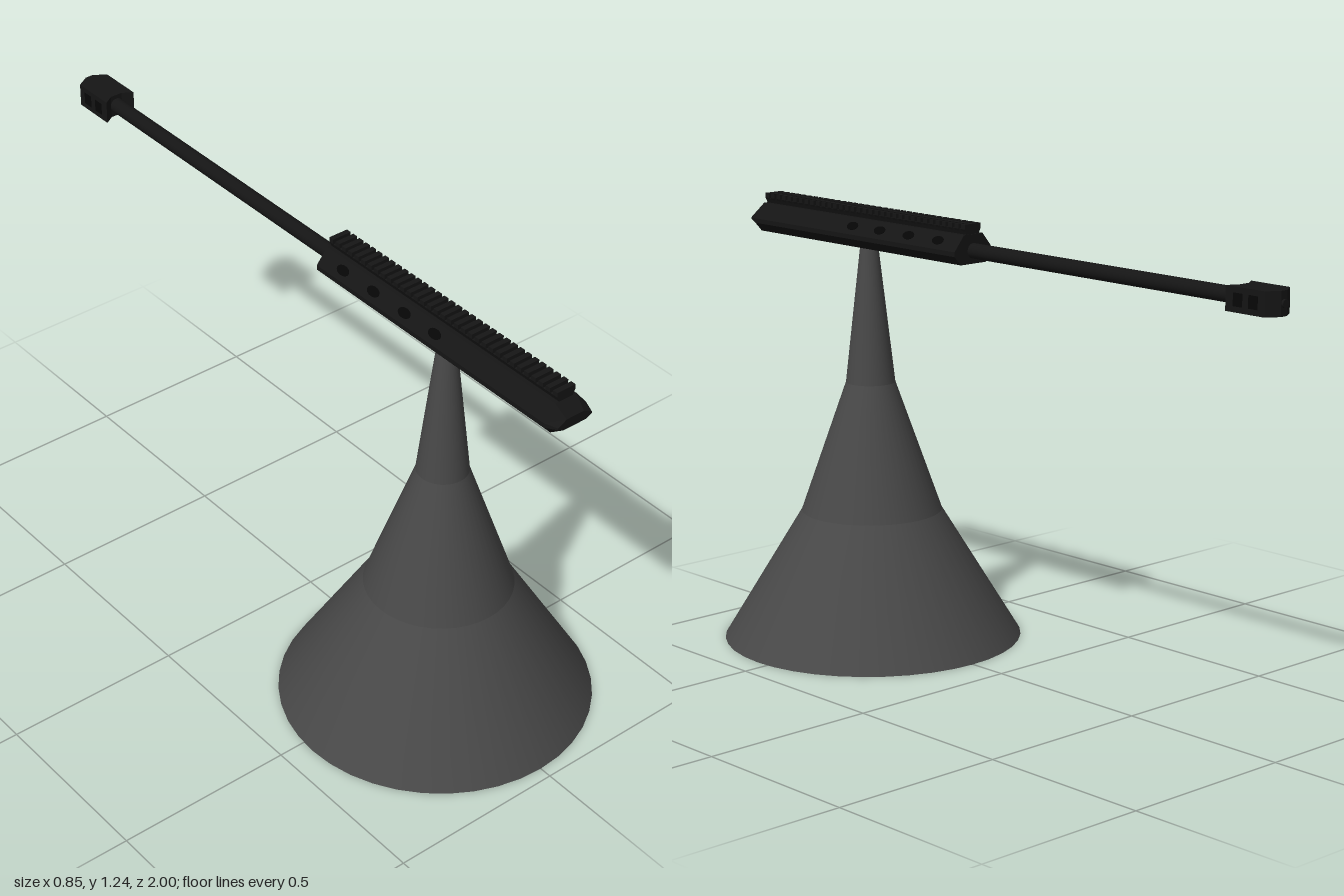
import * as THREE from 'three';

const metal = new THREE.MeshStandardMaterial({ color: 0x151515 });
const ventMetal = new THREE.MeshStandardMaterial({ color: 0x060606 });
const standMetal = new THREE.MeshStandardMaterial({ color: 0x484848 });

function add(parent, name, geometry, material = metal) {
  const mesh = new THREE.Mesh(geometry, material);
  mesh.name = name;
  parent.add(mesh);
  return mesh;
}

// Mirrors the right-hand half of an outline and extrudes it along z.
function mirroredExtrusion(half, z0, z1) {
  const left = half.map(([x, y]) => [-x, y]).reverse();
  const shape = new THREE.Shape([...half, ...left].map(([x, y]) => new THREE.Vector2(x, y)));
  const g = new THREE.ExtrudeGeometry(shape, { depth: z1 - z0, bevelEnabled: false });
  return g.translate(0, 0, z0);
}

function createStand() {
  const stand = new THREE.Group();
  stand.name = 'stand';
  // Flared column in three tapering sections, [radius, height]
  const rings = [[0.425, 0], [0.2, 0.37], [0.07, 0.74], [0.024, 1.14]];
  for (let i = 0; i < 3; i++) {
    const [r0, y0] = rings[i], [r1, y1] = rings[i + 1];
    const section = new THREE.CylinderGeometry(r1, r0, y1 - y0, 40, 1, true);
    add(stand, 'standSection' + (i + 1), section.translate(0, (y0 + y1) / 2, 0), standMetal);
  }
  const base = new THREE.CircleGeometry(0.425, 40).rotateX(Math.PI / 2);
  add(stand, 'standBase', base, standMetal);
  stand.position.z = 0.54;
  return stand;
}

function createReceiver() {
  const receiver = new THREE.Group();
  receiver.name = 'receiver';
  const half = [[0.045, 1.128], [0.068, 1.153], [0.068, 1.166], [0.034, 1.208]];
  add(receiver, 'receiverBody', mirroredExtrusion(half, 0.11, 0.965));

  // Nose: the same section, drawn in at its front end
  const nose = mirroredExtrusion(half, 0.965, 1);
  const p = nose.attributes.position;
  for (let i = 0; i < p.count; i++) {
    if (p.getZ(i) < 0.99) continue;
    p.setX(i, p.getX(i) * 0.8);
    p.setY(i, 1.163 + (p.getY(i) - 1.163) * 0.35);
  }
  nose.computeVertexNormals();
  add(receiver, 'receiverNose', nose);

  // Oval vents lying on the sloping upper sides
  const slope = Math.atan2(0.042, 0.034);
  for (const side of [1, -1]) {
    for (const z of [0.55, 0.435, 0.315, 0.195]) {
      const vent = add(receiver, 'vent', new THREE.CylinderGeometry(0.013, 0.013, 0.003, 16), ventMetal);
      vent.scale.z = 1.7;
      vent.rotation.z = -side * slope;
      vent.position.set(side * 0.051, 1.187, z);
    }
  }
  return receiver;
}

function createRail() {
  const rail = new THREE.Group();
  rail.name = 'topRail';
  add(rail, 'railBase', mirroredExtrusion([[0.021, 1.206], [0.028, 1.222]], 0.112, 0.965));
  // Evenly spaced cross teeth
  const count = 34, pitch = (0.965 - 0.112) / (count - 0.4);
  const tooth = mirroredExtrusion([[0.021, 1.208], [0.029, 1.223], [0.029, 1.236]], 0, pitch * 0.6);
  for (let i = 0; i < count; i++) {
    add(rail, 'railTooth', tooth).position.z = 0.112 + i * pitch;
  }
  return rail;
}

function createBarrel() {
  const barrel = new THREE.Group();
  barrel.name = 'barrelAssembly';
  const tube = new THREE.CylinderGeometry(0.021, 0.021, 1.1, 20).rotateX(Math.PI / 2);
  add(barrel, 'barrel', tube.translate(0, 1.163, -0.4));

  // Arrow-shaped muzzle brake, outlined in plan and extruded upward
  const brake = mirroredExtrusion(
    [[0.018, 0.863], [0.046, 0.845], [0.046, 0.972], [0.011, 0.994]], 1.131, 1.195);
  // Plan y becomes -z, extrusion depth becomes height
  add(barrel, 'muzzleBrake', brake.rotateX(-Math.PI / 2));
  const tip = new THREE.CylinderGeometry(0.011, 0.011, 0.03, 16).rotateX(Math.PI / 2);
  add(barrel, 'muzzleTip', tip.translate(0, 1.163, -0.985));

  // Side ports
  for (const side of [1, -1]) {
    for (const z of [-0.885, -0.935]) {
      const port = add(barrel, 'brakePort', new THREE.BoxGeometry(0.002, 0.034, 0.03), ventMetal);
      port.position.set(side * 0.046, 1.163, z);
    }
  }
  return barrel;
}

export function createModel() {
  const model = new THREE.Group();
  model.name = 'mountedGun';
  model.add(createStand(), createReceiver(), createRail(), createBarrel());
  return model;
}
